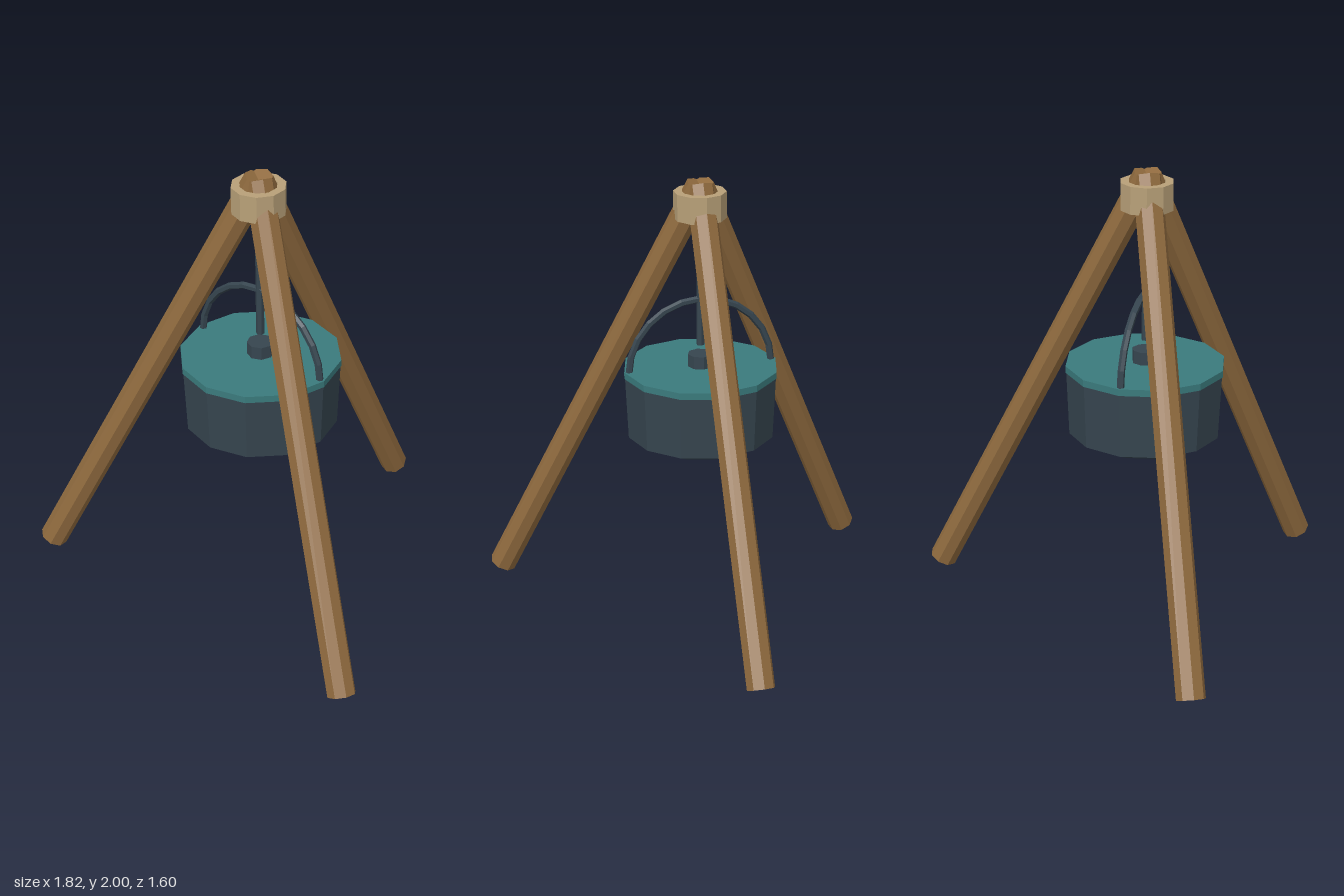
import * as THREE from 'three';

const material = (color, side = THREE.FrontSide) =>
  new THREE.MeshStandardMaterial({ color, flatShading: true, side });

export function createModel() {
  const model = new THREE.Group();
  model.name = 'campfireCauldron';

  const wood = material(0x8f6a3e);
  const rope = material(0xb8a078);
  const iron = material(0x36454f);
  const teal = material(0x3a7a7c);

  // Everything is arranged around the tripod's vertical axis
  const rig = new THREE.Group();
  rig.name = 'tripod';
  rig.position.z = 0.247;
  model.add(rig);

  const add = (name, geometry, mat, y = 0, parent = rig) => {
    const mesh = new THREE.Mesh(geometry, mat);
    mesh.name = name;
    mesh.position.y = y;
    parent.add(mesh);
    return mesh;
  };

  // Three poles leaning in to meet at the top
  const spread = 0.987, footY = 0.029, topY = 1.971;
  const rise = topY - footY;
  const poleGeometry = new THREE.CylinderGeometry(0.063, 0.063, Math.hypot(spread, rise), 8);
  ['backLeg', 'leftLeg', 'rightLeg'].forEach((name, i) => {
    const pivot = new THREE.Group();
    pivot.name = name;
    pivot.rotation.y = Math.PI + (i * Math.PI * 2) / 3;
    rig.add(pivot);
    const pole = add(name + 'Pole', poleGeometry, wood, (topY + footY) / 2, pivot);
    pole.position.z = spread / 2;
    pole.rotation.x = -Math.atan2(spread, rise);
  });

  // Hollow binding collar
  const collar = [[0.08, 1.83], [0.117, 1.83], [0.117, 1.95], [0.08, 1.95], [0.08, 1.83]]
    .map(([r, y]) => new THREE.Vector2(r, y));
  add('collar', new THREE.LatheGeometry(collar, 10), rope);

  // Hanging rod
  add('hangingRod', new THREE.CylinderGeometry(0.018, 0.018, 0.68, 6), iron, 1.58);

  // Pot body with chamfered base
  const pot = [[0, 0.775], [0.228, 0.775], [0.335, 0.825], [0.348, 1.115], [0, 1.115]]
    .map(([r, y]) => new THREE.Vector2(r, y));
  add('pot', new THREE.LatheGeometry(pot, 12), iron);

  // Lid and knob
  add('lid', new THREE.CylinderGeometry(0.351, 0.351, 0.03, 12), teal, 1.125);
  add('lidKnob', new THREE.CylinderGeometry(0.058, 0.058, 0.06, 8), iron, 1.168);

  // Arched carrying handle
  add('handle', new THREE.TorusGeometry(0.33, 0.016, 6, 12, Math.PI), iron, 1.125);

  return model;
}
